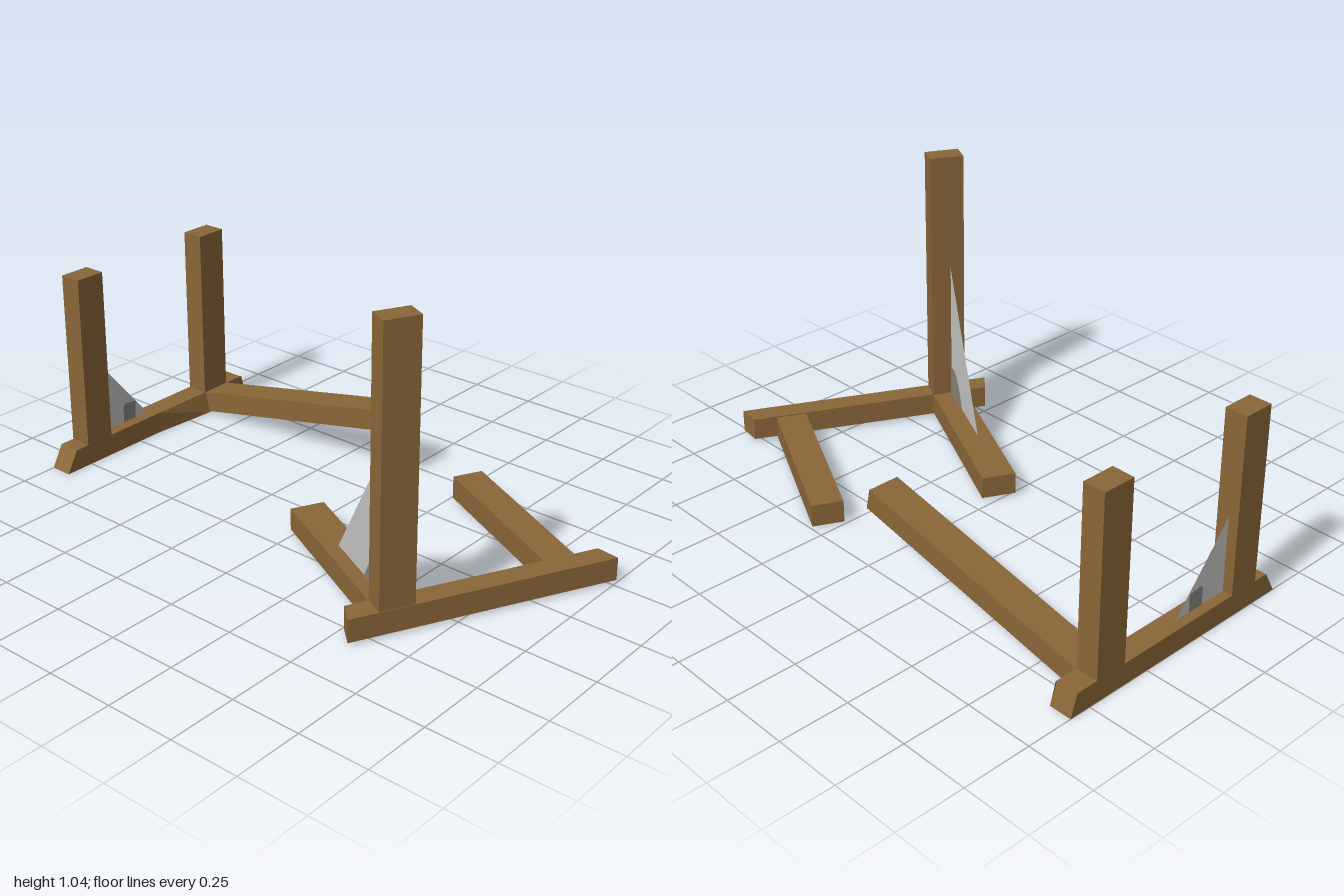
import * as THREE from 'three';

const wood = new THREE.MeshStandardMaterial({ color: 0x8a6638 });
wood.name = 'wood';
const web = new THREE.MeshStandardMaterial({ color: 0xc6c4c2, side: THREE.DoubleSide });
web.name = 'paleGrey';
const stain = new THREE.MeshStandardMaterial({ color: 0x88847f });
stain.name = 'darkGrey';

// Box given by its limits; an optional rule moves its corners
function beam(name, [x0, x1], [y0, y1], [z0, z1], rule) {
  const g = new THREE.BoxGeometry(x1 - x0, y1 - y0, z1 - z0);
  g.translate((x0 + x1) / 2, (y0 + y1) / 2, (z0 + z1) / 2);
  if (rule) {
    const p = g.attributes.position, v = new THREE.Vector3();
    for (let i = 0; i < p.count; i++) {
      v.fromBufferAttribute(p, i);
      rule(v);
      p.setXYZ(i, v.x, v.y, v.z);
    }
    g.computeVertexNormals();
  }
  const m = new THREE.Mesh(g, wood);
  m.name = name;
  return m;
}

const shape = pts => new THREE.Shape(pts.map(p => new THREE.Vector2(...p)));

// Thin web between post and foot, with a dark patch showing on both sides
function gusset(name, outline, patch) {
  const group = new THREE.Group();
  group.name = name;
  const sheet = new THREE.Mesh(new THREE.ShapeGeometry(shape(outline)), web);
  sheet.name = 'webSheet';
  const g = new THREE.ExtrudeGeometry(shape(patch), { depth: 0.004, bevelEnabled: false });
  g.translate(0, 0, -0.002);
  const spot = new THREE.Mesh(g, stain);
  spot.name = 'webPatch';
  group.add(sheet, spot);
  return group;
}

// Sloping fillet beside the sill where the leaning rail meets it
function fillet() {
  const top = [[-0.918, 0.08, -0.56], [-0.918, 0.08, -0.475], [-0.918, 0.08, -0.355], [-0.918, 0.08, -0.1]];
  const low = [[-0.917, 0, -0.58], [-0.897, 0, -0.475], [-0.897, 0, -0.355], [-0.917, 0, -0.1]];
  const pos = [];
  for (let i = 0; i < 3; i++) {
    pos.push(...top[i], ...top[i + 1], ...low[i], ...low[i], ...top[i + 1], ...low[i + 1]);
  }
  // underside
  pos.push(...low[0], ...low[1], ...low[3], ...low[1], ...low[2], ...low[3]);
  const g = new THREE.BufferGeometry();
  g.setAttribute('position', new THREE.Float32BufferAttribute(pos, 3));
  g.computeVertexNormals();
  const mat = wood.clone();
  mat.side = THREE.DoubleSide;
  const m = new THREE.Mesh(g, mat);
  m.name = 'sillFillet';
  return m;
}

export function createModel() {
  const model = new THREE.Group();
  model.name = 'brokenFrame';

  // Low frame: sill with sloping ends, two posts and a leaning rail
  const low = new THREE.Group();
  low.name = 'lowFrame';
  low.add(beam('sill', [-1, -0.918], [0, 0.08], [-0.58, 0.362], v => {
    if (v.y > 0.04) v.z += v.z > 0 ? -0.045 : 0.025;
  }));
  for (const [name, z] of [['frontPost', [0.145, 0.26]], ['backPost', [-0.472, -0.352]]]) {
    low.add(beam(name, [-1, -0.918], [0.08, 0.722], z));
  }
  low.add(beam('leaningRail', [-0.92, 0.03], [0, 0.08], [-0.475, -0.355], v => {
    const high = v.y > 0.04;
    if (v.x > -0.4) { v.x = high ? 0.014 : 0.03; v.y = high ? 0.276 : 0.2; }
    else { v.x = high ? -0.919 : -0.9; v.y = high ? 0.08 : 0.004; }
  }));
  low.add(fillet());
  const lowWeb = gusset('lowGusset',
    [[-0.145, 0.08], [0.08, 0.08], [-0.145, 0.355]],
    [[-0.04, 0.08], [0.02, 0.08], [0.022, 0.148], [-0.01, 0.152], [-0.03, 0.156], [-0.04, 0.145]]);
  lowWeb.rotation.y = Math.PI / 2;
  lowWeb.position.x = -0.963;
  low.add(lowWeb);

  // Tall frame, turned: sill with mitred ends, two feet and one post
  const tall = new THREE.Group();
  tall.name = 'tallFrame';
  tall.rotation.y = -0.466;
  tall.add(beam('sill', [0.694, 0.772], [0.01, 0.092], [-0.69, 0.255], v => {
    if (v.x < 0.73) v.z += v.z > 0 ? -0.022 : 0.027;
  }));
  tall.add(beam('frontFoot', [0.054, 0.694], [0.01, 0.09], [0.029, 0.151]));
  tall.add(beam('backFoot', [0.054, 0.694], [0.004, 0.087], [-0.578, -0.466]));
  tall.add(beam('post', [0.694, 0.77], [0.092, 1.042], [0.028, 0.151]));
  const tallWeb = gusset('tallGusset',
    [[0.345, 0.09], [0.694, 0.09], [0.694, 0.61]],
    [[0.55, 0.09], [0.694, 0.09], [0.694, 0.2], [0.65, 0.205], [0.62, 0.19], [0.585, 0.15]]);
  tallWeb.position.z = 0.1;
  tall.add(tallWeb);

  model.add(low, tall);
  return model;
}
